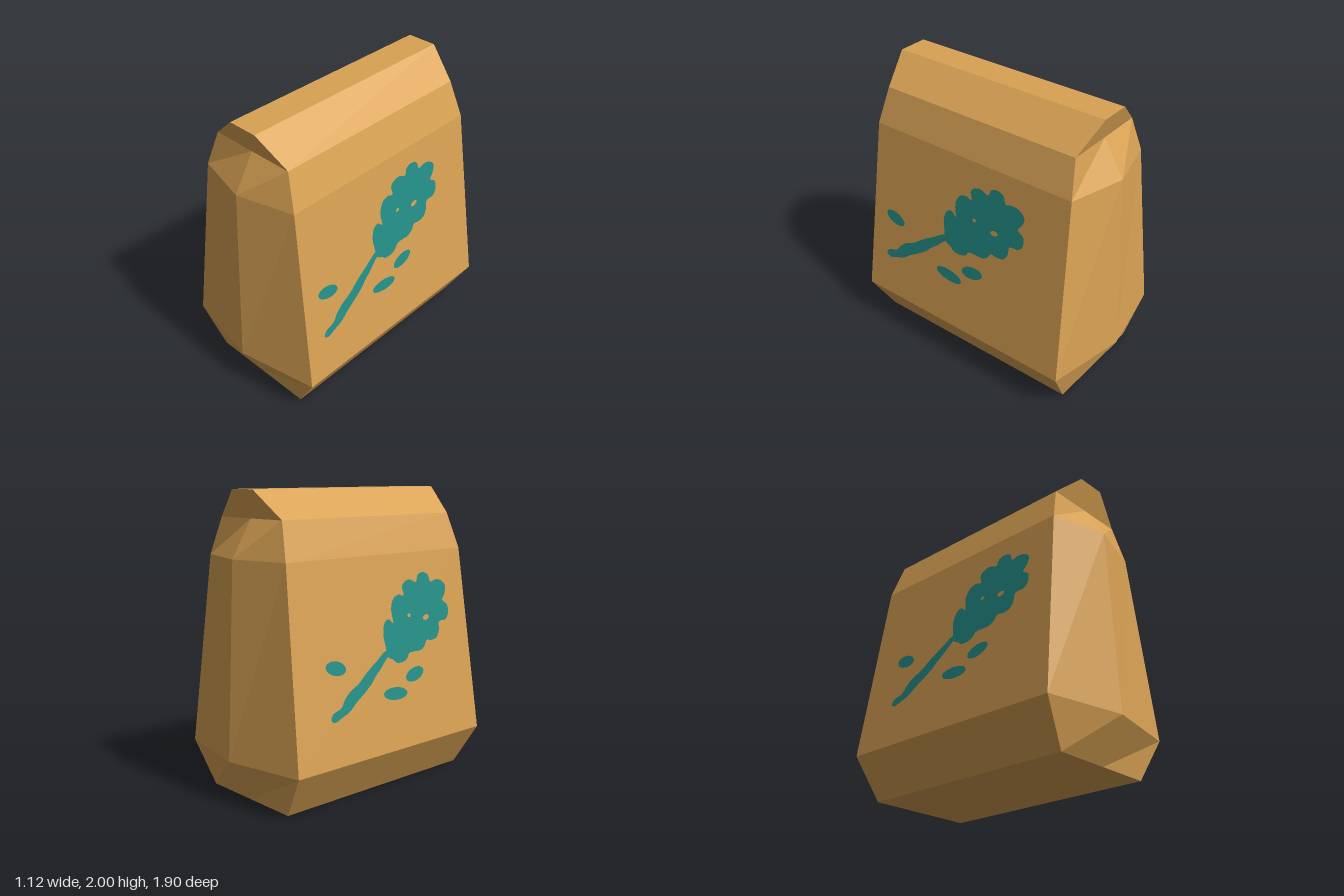
import * as THREE from 'three';

const paper = new THREE.MeshStandardMaterial({ color: 0xd9a254 });
paper.name = 'kraft paper';
const ink = new THREE.MeshStandardMaterial({ color: 0x249088 });
ink.name = 'teal ink';

// Bag cross-sections: height, half width, corner depth, depth at the middle fold
const SECTIONS = [
  [0, 0.39, 0.79, 0.79],
  [0.29, 0.56, 0.84, 0.95],
  [1.575, 0.39, 0.785, 0.89],
  [1.82, 0.31, 0.745, 0.745],
  [2, 0.105, 0.805, 0.805],
];

function bagGeometry() {
  const rings = SECTIONS.map(([y, w, c, m]) => [
    [w, y, c], [w, y, -c], [0, y, -m], [-w, y, -c], [-w, y, c], [0, y, m],
  ]);
  const pos = [];
  const tri = (a, b, c) => pos.push(...a, ...b, ...c);
  for (let i = 0; i < rings.length - 1; i++) {
    for (let j = 0; j < 6; j++) {
      const k = (j + 1) % 6;
      const a = rings[i][j], b = rings[i][k], c = rings[i + 1][k], d = rings[i + 1][j];
      tri(a, b, c);
      tri(a, c, d);
    }
  }
  // Bottom and top caps
  const bottom = rings[0], top = rings[rings.length - 1];
  for (let j = 1; j < 5; j++) {
    tri(bottom[0], bottom[j + 1], bottom[j]);
    tri(top[0], top[j], top[j + 1]);
  }
  const geo = new THREE.BufferGeometry();
  geo.setAttribute('position', new THREE.Float32BufferAttribute(pos, 3));
  geo.computeVertexNormals();
  return geo;
}

// Print outlines in hundredths of a unit: across the panel, then up
const BLOSSOM = [
  -16, 101, -17, 108, -15, 115, -11, 117, -7, 114, -8, 123, -5, 130, 0, 132, 5, 131,
  4, 137, 7, 140, 12, 141, 18, 139, 20, 143.5, 25, 145, 30, 143, 32, 138, 37, 139,
  43, 138, 47, 134, 46, 129, 43, 124.5, 47.5, 121, 48, 115, 45, 111, 38, 110,
  37, 104, 34, 99.5, 28, 98.5, 24, 99, 21, 95, 17, 93, 11, 93, 6, 92.5, 3, 89,
  -2, 87.5, -7, 88, -10, 90.5, -14, 92.5,
];
const STEM = [
  -14, 93, -22, 86, -27, 82, -31, 78, -38, 73, -46, 68, -52, 63.5, -59, 61, -65, 59,
  -68, 61, -66, 64.5, -59, 67, -55, 72, -50, 76, -42, 80, -34, 86, -25, 91.5,
  -16, 97, -10, 97, -10, 93,
];

function outline(list) {
  const pts = [];
  for (let i = 0; i < list.length; i += 2) {
    pts.push(new THREE.Vector3(list[i] / 100, list[i + 1] / 100, 0));
  }
  const curve = new THREE.CatmullRomCurve3(pts, true, 'centripetal');
  return new THREE.Shape(curve.getPoints(pts.length * 4).slice(0, -1)
    .map((p) => new THREE.Vector2(p.x, p.y)));
}

function ellipse(x, y, rx, ry, turn = 0) {
  const s = new THREE.Shape();
  s.absellipse(x, y, rx, ry, 0, Math.PI * 2, false, turn);
  return s;
}

function printShapes() {
  const blossom = outline(BLOSSOM);
  blossom.holes.push(ellipse(0.085, 1.175, 0.016, 0.012), ellipse(0.25, 1.145, 0.03, 0.018, 0.15));
  return {
    blossom,
    stem: outline(STEM),
    upperLeaf: ellipse(-0.605, 0.92, 0.085, 0.045, -0.25),
    lowerLeaf: ellipse(-0.1, 0.68, 0.11, 0.042, -0.1),
    innerLeaf: ellipse(0.095, 0.78, 0.088, 0.045, 0.2),
  };
}

// Flat print laid just above the sloping side panel
function sidePrint(name, across, up) {
  const group = new THREE.Group();
  group.name = name;
  const [, [y0, w0], [y1, w1]] = SECTIONS;
  for (const [part, shape] of Object.entries(printShapes())) {
    const geo = new THREE.ShapeGeometry(shape, 16);
    geo.translate(across, up, 0);
    geo.rotateY(Math.PI / 2);
    const p = geo.attributes.position;
    for (let i = 0; i < p.count; i++) {
      p.setX(i, w0 + ((w1 - w0) * (p.getY(i) - y0)) / (y1 - y0) + 0.004);
    }
    geo.computeVertexNormals();
    const mesh = new THREE.Mesh(geo, ink);
    mesh.name = part;
    group.add(mesh);
  }
  return group;
}

export function createModel() {
  const model = new THREE.Group();
  model.name = 'paperBag';

  const bag = new THREE.Mesh(bagGeometry(), paper);
  bag.name = 'bag';
  model.add(bag);

  // The same print on both broad sides
  const left = sidePrint('leftPrint', 0, 0);
  const right = sidePrint('rightPrint', 0.135, -0.015);
  right.rotation.y = Math.PI;
  model.add(left, right);
  return model;
}
